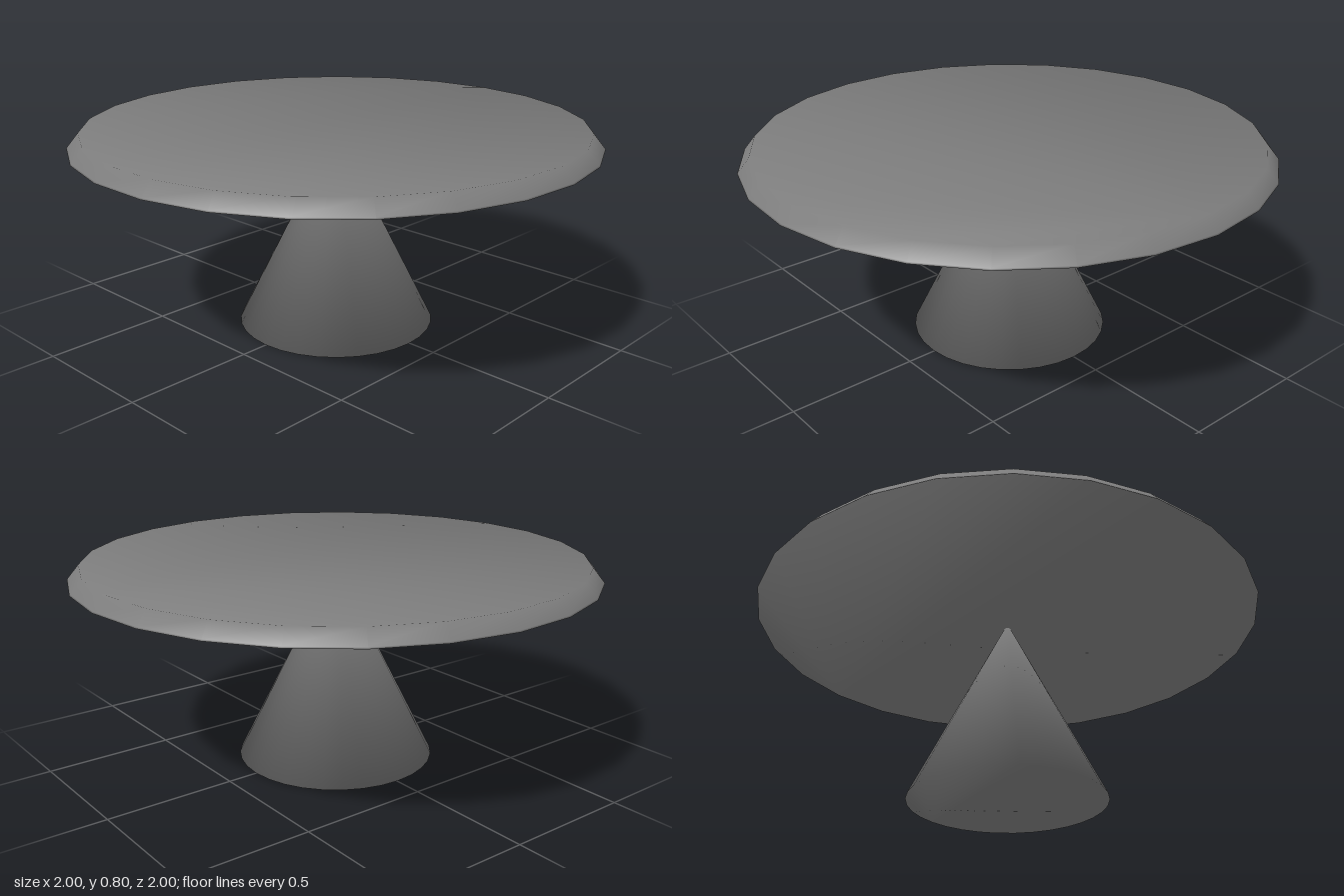
import * as THREE from 'three';

// Closed solid from [radius, height] rings, bottom to top, with soft normals
// averaged across neighbouring bands; a last radius of 0 gives a pointed cone
function ringSolid(profile, sides) {
  const pos = [], nor = [], index = [];
  const last = profile.length - 1;
  const pointed = profile[last][0] === 0;

  // Band directions (outward, up), with the flat caps at both ends
  const bands = [new THREE.Vector2(0, -1)];
  for (let k = 0; k < last; k++) {
    const [r0, y0] = profile[k], [r1, y1] = profile[k + 1];
    bands.push(new THREE.Vector2(y1 - y0, r0 - r1).normalize());
  }
  bands.push(new THREE.Vector2(0, 1));

  profile.forEach(([r, y], k) => {
    const n = bands[k].clone().add(bands[k + 1]).normalize();
    if (r === 0) n.set(0, 1);
    for (let i = 0; i < sides; i++) {
      const a = (i / sides) * Math.PI * 2, s = Math.sin(a), c = -Math.cos(a);
      pos.push(s * r, y, c * r);
      nor.push(s * n.x, n.y, c * n.x);
    }
  });

  // Side bands
  for (let k = 0; k < last; k++) {
    for (let i = 0; i < sides; i++) {
      const a = k * sides + i, b = k * sides + (i + 1) % sides;
      index.push(b, a, a + sides);
      if (!pointed || k < last - 1) index.push(b, a + sides, b + sides);
    }
  }
  // Flat caps as fans across the rim
  const t = last * sides;
  for (let i = 1; i < sides - 1; i++) {
    index.push(0, i, i + 1);
    if (!pointed) index.push(t, t + i + 1, t + i);
  }

  const geo = new THREE.BufferGeometry();
  geo.setAttribute('position', new THREE.Float32BufferAttribute(pos, 3));
  geo.setAttribute('normal', new THREE.Float32BufferAttribute(nor, 3));
  geo.setIndex(index);
  return geo;
}

export function createModel() {
  const group = new THREE.Group();
  group.name = 'pedestalTable';
  const material = new THREE.MeshStandardMaterial({ color: 0x7c7c7c });

  const add = (name, geometry) => {
    const mesh = new THREE.Mesh(geometry, material);
    mesh.name = name;
    mesh.position.z = 0.004; // the odd-sided top is centred by its extents
    group.add(mesh);
  };

  // Bevelled 25-sided top with a narrow band that keeps its lower edge crisp
  add('tableTop', ringSolid([[1.002, 0.745], [0.998, 0.75], [0.957, 0.8]], 25));
  // Cone whose tip sinks into the top
  add('coneBase', ringSolid([[0.385, 0], [0, 0.77]], 32));

  return group;
}
